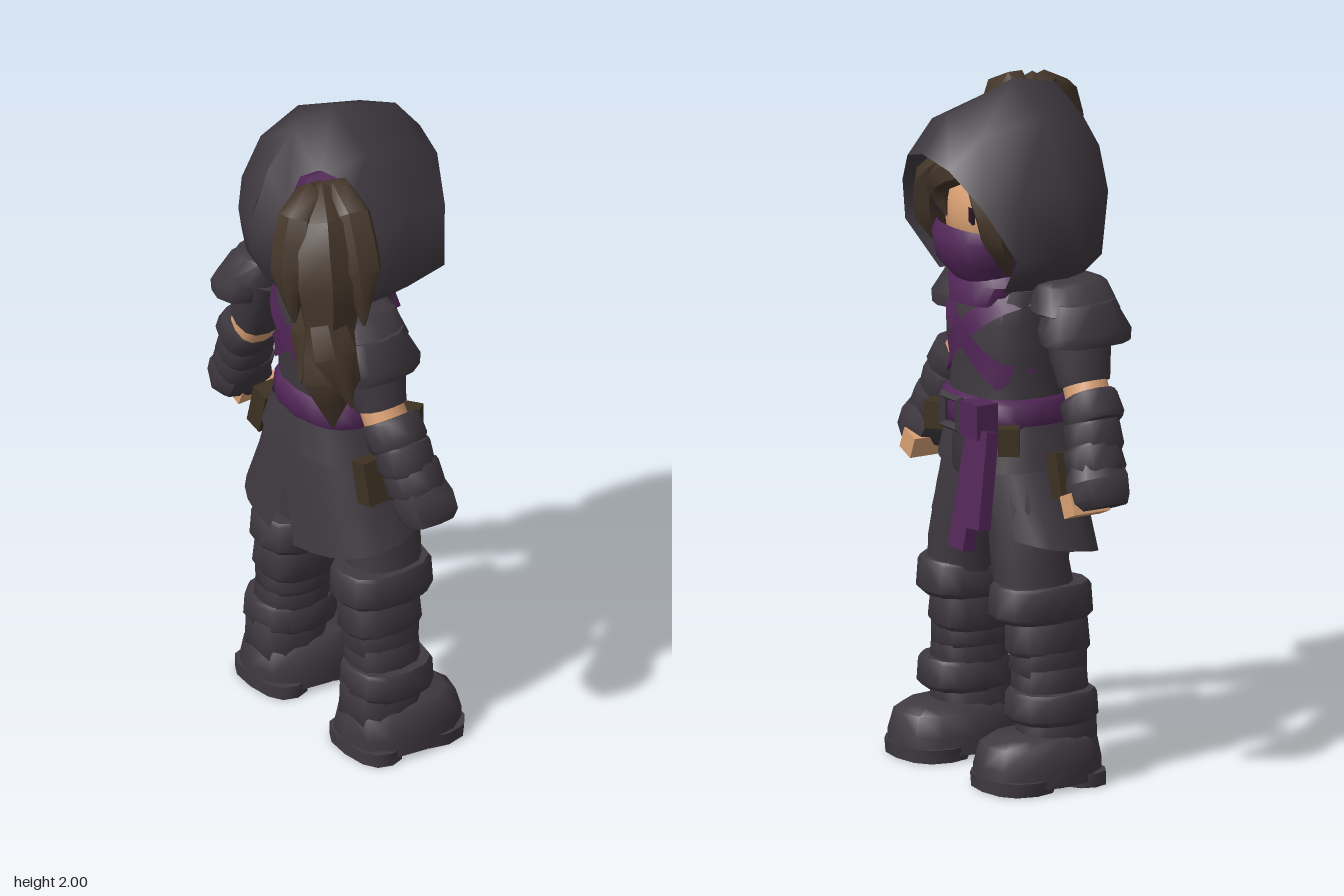
import * as THREE from 'three';
import { toCreasedNormals } from 'three/addons/utils/BufferGeometryUtils.js';

const paint = (name, color, side = THREE.FrontSide) => {
  const m = new THREE.MeshStandardMaterial({ color, side });
  m.name = name;
  return m;
};
const cloth = paint('charcoal cloth', 0x3f3940, THREE.DoubleSide);
const purple = paint('purple sash', 0x522658, THREE.DoubleSide);
const hairMat = paint('brown hair', 0x44362a, THREE.DoubleSide);
const skinMat = paint('skin', 0xd9a074);
const leather = paint('leather', 0x3d3122);
const eyeMat = paint('eye', 0x2a1624);

function add(parent, name, geo, mat, crease = 0.9) {
  const mesh = new THREE.Mesh(toCreasedNormals(geo, crease), mat);
  mesh.name = name;
  parent.add(mesh);
  return mesh;
}

// Surface through rows of points, ordered top to bottom
function surface(rows, closed = false, caps = false) {
  const n = rows[0].length, pos = rows.flat(2), idx = [];
  const quads = closed ? n : n - 1;
  for (let i = 0; i < rows.length - 1; i++) for (let j = 0; j < quads; j++) {
    const k = (j + 1) % n, a = i * n + j, b = i * n + k, c = a + n, d = b + n;
    idx.push(a, c, d, a, d, b);
  }
  if (caps) [0, rows.length - 1].forEach((r, end) => {
    const mid = pos.length / 3;
    for (let k = 0; k < 3; k++) pos.push(rows[r].reduce((s, p) => s + p[k], 0) / n);
    for (let j = 0; j < n; j++) {
      const a = r * n + j, b = r * n + (j + 1) % n;
      idx.push(...(end ? [mid, b, a] : [mid, a, b]));
    }
  });
  const g = new THREE.BufferGeometry();
  g.setAttribute('position', new THREE.Float32BufferAttribute(pos, 3));
  g.setIndex(idx);
  g.computeVertexNormals();
  return g;
}

// Slightly boxy horizontal ring point
const bend = (v) => Math.sign(v) * Math.abs(v) ** 0.8;
const ringPoint = (x, y, z, rx, rz, a) => [x + rx * bend(Math.sin(a)), y, z + rz * bend(Math.cos(a))];

// Closed body from rings [x, y, z, rx, rz]
const loft = (rings, n = 12) => surface(rings.map((r) =>
  Array.from({ length: n }, (_, j) => ringPoint(...r, (j / n) * Math.PI * 2))), true, true);

// Open wrap from rings [y, z, rx, rz, fromDeg, toDeg, endLift]
const wrap = (rings, n = 10) => surface(rings.map(([y, z, rx, rz, a0, a1, lift = 0]) =>
  Array.from({ length: n + 1 }, (_, j) => {
    const t = j / n;
    return ringPoint(0, y + lift * t, z, rx, rz, THREE.MathUtils.degToRad(a0 + (a1 - a0) * t));
  })));

// Cloth band with a slight bulge, centred on its own origin
const band = (height, rx, rz) => loft([
  [0, height / 2, 0, rx * 0.92, rz * 0.92], [0, height / 2 - 0.012, 0, rx * 0.97, rz * 0.97],
  [0, 0.015 - height / 2, 0, rx, rz], [0, -height / 2, 0, rx * 0.9, rz * 0.9]]);

// Tapered lock along a curve
function lock(points, radii, sides = 6) {
  const curve = new THREE.CatmullRomCurve3(points.map((p) => new THREE.Vector3(...p)));
  const segs = (points.length - 1) * 2;
  const g = new THREE.TubeGeometry(curve, segs, 1, sides);
  const pos = g.attributes.position, v = new THREE.Vector3();
  for (let i = 0; i <= segs; i++) {
    const c = curve.getPointAt(i / segs), f = (i / segs) * (radii.length - 1), k = Math.min(Math.floor(f), radii.length - 2);
    const r = THREE.MathUtils.lerp(radii[k], radii[k + 1], f - k);
    for (let j = 0; j <= sides; j++) {
      const q = i * (sides + 1) + j;
      v.fromBufferAttribute(pos, q).sub(c).multiplyScalar(r).add(c);
      pos.setXYZ(q, v.x, v.y, v.z);
    }
  }
  return g;
}

const torsoRings = [[0, 1.45, -0.05, 0.1, 0.09], [0, 1.42, -0.05, 0.18, 0.13], [0, 1.32, -0.06, 0.18, 0.16],
  [0, 1.2, -0.06, 0.165, 0.15], [0, 1.1, -0.07, 0.17, 0.15], [0, 1, -0.07, 0.18, 0.15]];

// Depth of the torso surface on the back (+1) or chest (-1)
function torsoZ(x, y, s) {
  let i = 0;
  while (i < torsoRings.length - 2 && torsoRings[i + 1][1] > y) i++;
  const A = torsoRings[i], B = torsoRings[i + 1];
  const t = THREE.MathUtils.clamp((y - A[1]) / (B[1] - A[1]), 0, 1), mix = (k) => A[k] + (B[k] - A[k]) * t;
  const u = Math.min(1, Math.abs(x) / mix(3)) ** 1.25;
  return mix(2) + s * (mix(4) * Math.sqrt(1 - u * u) ** 0.8 + 0.012);
}

function strap(s, dir) {
  const edge = (off) => Array.from({ length: 11 }, (_, i) => {
    const t = i / 10, x = dir * (-0.16 + 0.31 * t + off * 0.6), y = 1.41 - 0.25 * t + off * 0.8;
    return [x, y, torsoZ(x, y, s)];
  });
  const rows = [edge(0.032), edge(-0.032)];
  return surface(s * dir > 0 ? rows : rows.reverse());
}

function buildArm() {
  const arm = new THREE.Group();
  arm.name = 'arm';
  arm.position.set(0.22, 1.42, 0.01);
  arm.rotation.z = 0.39;
  add(arm, 'sleeve', loft([[-0.01, -0.05, 0, 0.085, 0.09], [-0.015, -0.18, -0.01, 0.078, 0.085], [-0.025, -0.265, -0.01, 0.066, 0.07]]), cloth);
  add(arm, 'elbowSkin', loft([[-0.025, -0.25, -0.01, 0.06, 0.06], [-0.012, -0.35, -0.015, 0.062, 0.062]]), skinMat);
  [[-0.345, 0.085, 0.078, 0.2], [-0.42, 0.09, 0.074, -0.08], [-0.49, 0.09, 0.076, 0.08]].forEach(([y, h, r, tilt], i) => {
    const cuff = add(arm, 'forearmWrap', band(h, r, r + 0.006), cloth);
    cuff.position.set(0, y, -0.02 - i * 0.013);
    cuff.rotation.z = tilt;
  });
  add(arm, 'glove', loft([[0, -0.49, -0.05, 0.066, 0.075], [0.005, -0.545, -0.055, 0.08, 0.09], [0.012, -0.6, -0.06, 0.074, 0.085], [0.02, -0.625, -0.055, 0.05, 0.07]], 8), cloth);
  add(arm, 'fingers', new THREE.BoxGeometry(0.06, 0.065, 0.12), skinMat).position.set(-0.028, -0.6, -0.088);
  return arm;
}

function buildLeg() {
  const leg = new THREE.Group();
  leg.name = 'leg';
  add(leg, 'thigh', loft([[0.1, 0.98, -0.07, 0.09, 0.11], [0.13, 0.8, -0.08, 0.115, 0.115], [0.165, 0.64, -0.1, 0.103, 0.105], [0.18, 0.54, -0.09, 0.1, 0.11]]), cloth);
  // [name, x, y, z, height, rx, rz, tilt]
  [['kneeBand', 0.19, 0.525, -0.08, 0.105, 0.115, 0.15, 0.02], ['upperCalfWrap', 0.2, 0.43, -0.065, 0.12, 0.102, 0.118, 0.1],
    ['middleCalfWrap', 0.207, 0.36, -0.065, 0.1, 0.097, 0.108, -0.12], ['lowerCalfWrap', 0.213, 0.295, -0.065, 0.1, 0.095, 0.107, 0.06],
    ['shinBand', 0.23, 0.23, -0.07, 0.09, 0.117, 0.13, 0], ['ankle', 0.225, 0.155, -0.05, 0.13, 0.103, 0.113, 0]].forEach(([name, x, y, z, h, rx, rz, tilt]) => {
    const b = add(leg, name, band(h, rx, rz), cloth);
    b.position.set(x, y, z);
    b.rotation.z = tilt;
  });
  add(leg, 'boot', loft([[0.226, 0.15, -0.1, 0.1, 0.15], [0.226, 0.13, -0.11, 0.122, 0.172], [0.226, 0.07, -0.113, 0.135, 0.186], [0.226, 0.015, -0.113, 0.135, 0.186]]), cloth);
  add(leg, 'heel', loft([[0.226, 0.04, 0, 0.13, 0.073], [0.226, 0, 0, 0.13, 0.073]]), cloth);
  add(leg, 'sole', loft([[0.226, 0.04, -0.195, 0.137, 0.105], [0.226, 0, -0.195, 0.132, 0.103]]), cloth);
  return leg;
}

// Side parts, made once and mirrored
function buildSide() {
  const side = new THREE.Group();
  side.add(buildArm(), buildLeg());
  add(side, 'shoulderCap', loft([[0.185, 1.455, 0.01, 0.08, 0.08], [0.2, 1.445, 0.01, 0.09, 0.105], [0.23, 1.37, 0.01, 0.105, 0.128], [0.235, 1.355, 0.01, 0.08, 0.1]]), cloth);
  add(side, 'shoulderGuard', loft([[0.255, 1.4, 0.01, 0.075, 0.1], [0.28, 1.32, 0.01, 0.095, 0.138], [0.285, 1.285, 0.01, 0.085, 0.135], [0.285, 1.28, 0.01, 0.06, 0.09]]), cloth);
  add(side, 'skirtPanel', wrap([[1.02, -0.06, 0.18, 0.145, 0, 165], [0.95, -0.06, 0.205, 0.16, 0, 162],
    [0.8, -0.055, 0.255, 0.17, 0, 155], [0.63, -0.045, 0.305, 0.175, 7, 148, 0.09]]), cloth);
  add(side, 'skirtTopFlap', wrap([[1.03, -0.06, 0.19, 0.155, 8, 172], [0.93, -0.06, 0.225, 0.178, 12, 165, -0.04]]), cloth);
  const pouch = add(side, 'hipPouch', new THREE.BoxGeometry(0.06, 0.13, 0.11), leather);
  pouch.position.set(0.25, 0.895, -0.02);
  pouch.rotation.z = 0.25;
  const front = add(side, 'frontPouch', new THREE.BoxGeometry(0.09, 0.08, 0.06), leather);
  front.position.set(0.175, 1, -0.175);
  front.rotation.y = 0.6;
  add(side, 'faceLock', lock([[0.05, 1.78, -0.23], [0.14, 1.71, -0.235], [0.175, 1.61, -0.215], [0.16, 1.48, -0.17]], [0.03, 0.05, 0.055, 0.01]), hairMat);
  const eye = add(side, 'eye', new THREE.BoxGeometry(0.06, 0.04, 0.008), eyeMat);
  eye.position.set(0.075, 1.64, -0.239);
  eye.rotation.y = 0.35;
  return side;
}

function buildHood() {
  // Half arches from crown to hem, from the face rim to the back ridge
  const arches = [
    [[0, 1.82, -0.355], [0.11, 1.79, -0.335], [0.215, 1.69, -0.285], [0.295, 1.55, -0.225], [0.17, 1.43, -0.19]],
    [[0, 1.925, -0.27], [0.13, 1.88, -0.24], [0.24, 1.73, -0.17], [0.31, 1.54, -0.1], [0.17, 1.42, -0.07]],
    [[0, 2, -0.05], [0.165, 1.915, -0.05], [0.25, 1.72, -0.04], [0.31, 1.54, -0.01], [0.16, 1.41, 0]],
    [[0, 1.97, 0.09], [0.14, 1.88, 0.1], [0.23, 1.7, 0.1], [0.245, 1.52, 0.09], [0.13, 1.41, 0.06]],
    [[0, 1.87, 0.175], [0.09, 1.79, 0.18], [0.14, 1.67, 0.178], [0.14, 1.52, 0.15], [0.08, 1.42, 0.09]],
    [[0, 1.77, 0.22], [0, 1.71, 0.237], [0, 1.63, 0.235], [0, 1.52, 0.19], [0, 1.42, 0.11]]];
  return surface(arches.map((h) =>
    [...h.slice(1).reverse(), ...h.map(([x, y, z]) => [-x, y, z])]).reverse());
}

export function createModel() {
  const model = new THREE.Group();
  model.name = 'hoodedFigure';
  const left = buildSide(), right = buildSide();
  left.name = 'leftSide';
  right.name = 'rightSide';
  right.scale.x = -1;
  model.add(left, right);

  // Trunk, straps and belt
  add(model, 'torso', loft(torsoRings, 16), cloth);
  add(model, 'hips', loft([[0, 1.02, -0.07, 0.17, 0.14], [0, 0.86, -0.07, 0.19, 0.13], [0, 0.76, -0.07, 0.06, 0.08]]), cloth);
  for (const s of [1, -1]) for (const dir of [1, -1]) add(model, s > 0 ? 'backStrap' : 'chestStrap', strap(s, dir), purple);
  add(model, 'belt', loft([[0, 1.105, -0.075, 0.17, 0.155], [0, 1.09, -0.075, 0.183, 0.168], [0, 1.035, -0.075, 0.19, 0.17], [0, 1.015, -0.075, 0.18, 0.16]], 16), purple);
  add(model, 'beltKnot', new THREE.BoxGeometry(0.09, 0.1, 0.07), purple).position.set(-0.11, 1.055, -0.235);
  const buckle = add(model, 'buckle', new THREE.TorusGeometry(0.06, 0.015, 4, 4), cloth);
  buckle.position.set(0, 1.055, -0.258);
  buckle.rotation.z = Math.PI / 4;
  for (const [x, len, turn] of [[-0.105, 0.35, 0.02], [-0.16, 0.28, -0.1]]) {
    const tail = add(model, 'sashTail', new THREE.BoxGeometry(0.08, len, 0.04), purple);
    tail.position.set(x, 1.03 - len / 2, -0.26);
    tail.rotation.set(0.17, 0, turn);
  }

  // Head, mask and scarf
  const head = add(model, 'head', new THREE.SphereGeometry(0.19, 16, 12), skinMat, 3);
  head.position.set(0, 1.63, -0.06);
  add(model, 'neck', new THREE.CylinderGeometry(0.08, 0.09, 0.14, 10), cloth).position.set(0, 1.45, -0.04);
  const cap = add(model, 'hairCap', new THREE.SphereGeometry(0.2, 12, 6, 0, Math.PI * 2, 0, 1.15), hairMat);
  cap.position.set(0, 1.645, -0.055);
  add(model, 'backHair', wrap([[1.74, -0.05, 0.195, 0.19, -118, 118], [1.6, -0.05, 0.2, 0.2, -115, 115], [1.46, -0.05, 0.15, 0.13, -105, 105]], 12), hairMat);
  add(model, 'mask', wrap([[1.595, -0.06, 0.19, 0.2, 110, 250], [1.56, -0.06, 0.185, 0.222, 108, 252], [1.49, -0.06, 0.16, 0.212, 100, 260], [1.42, -0.06, 0.1, 0.15, 90, 270]], 12), purple);
  add(model, 'scarf', wrap([[1.47, -0.06, 0.13, 0.14, 85, 275], [1.43, -0.06, 0.16, 0.17, 90, 270], [1.37, -0.06, 0.13, 0.175, 120, 240]], 12), purple);
  add(model, 'fringe', lock([[-0.08, 1.78, -0.23], [0, 1.755, -0.265], [0.06, 1.7, -0.265], [0.03, 1.62, -0.255]], [0.035, 0.045, 0.035, 0.003]), hairMat);
  add(model, 'hood', buildHood(), cloth, 1.5);

  // Ponytail
  const tie = add(model, 'hairTie', new THREE.CylinderGeometry(0.06, 0.065, 0.08, 8), purple);
  tie.position.set(0.165, 1.85, 0.12);
  tie.rotation.set(0.5, 0, -0.9);
  [[[[0.17, 1.86, 0.13], [0.25, 1.87, 0.17], [0.32, 1.77, 0.21], [0.35, 1.62, 0.22], [0.36, 1.48, 0.23], [0.41, 1.24, 0.25]], [0.04, 0.09, 0.105, 0.08, 0.095, 0.003]],
    [[[0.19, 1.87, 0.12], [0.28, 1.9, 0.12], [0.38, 1.78, 0.14], [0.45, 1.57, 0.17]], [0.03, 0.06, 0.065, 0.005]],
    [[[0.2, 1.87, 0.14], [0.24, 1.9, 0.23], [0.27, 1.77, 0.29], [0.32, 1.57, 0.32]], [0.03, 0.055, 0.06, 0.005]],
    [[[0.34, 1.62, 0.23], [0.41, 1.5, 0.25], [0.49, 1.34, 0.24]], [0.05, 0.07, 0.003]],
    [[[0.32, 1.65, 0.22], [0.31, 1.52, 0.25], [0.35, 1.38, 0.32]], [0.05, 0.06, 0.003]],
    [[[0.31, 1.7, 0.18], [0.29, 1.56, 0.17], [0.31, 1.41, 0.15]], [0.05, 0.055, 0.003]],
  ].forEach(([p, r]) => add(model, 'ponytailLock', lock(p, r), hairMat, 1));
  return model;
}
